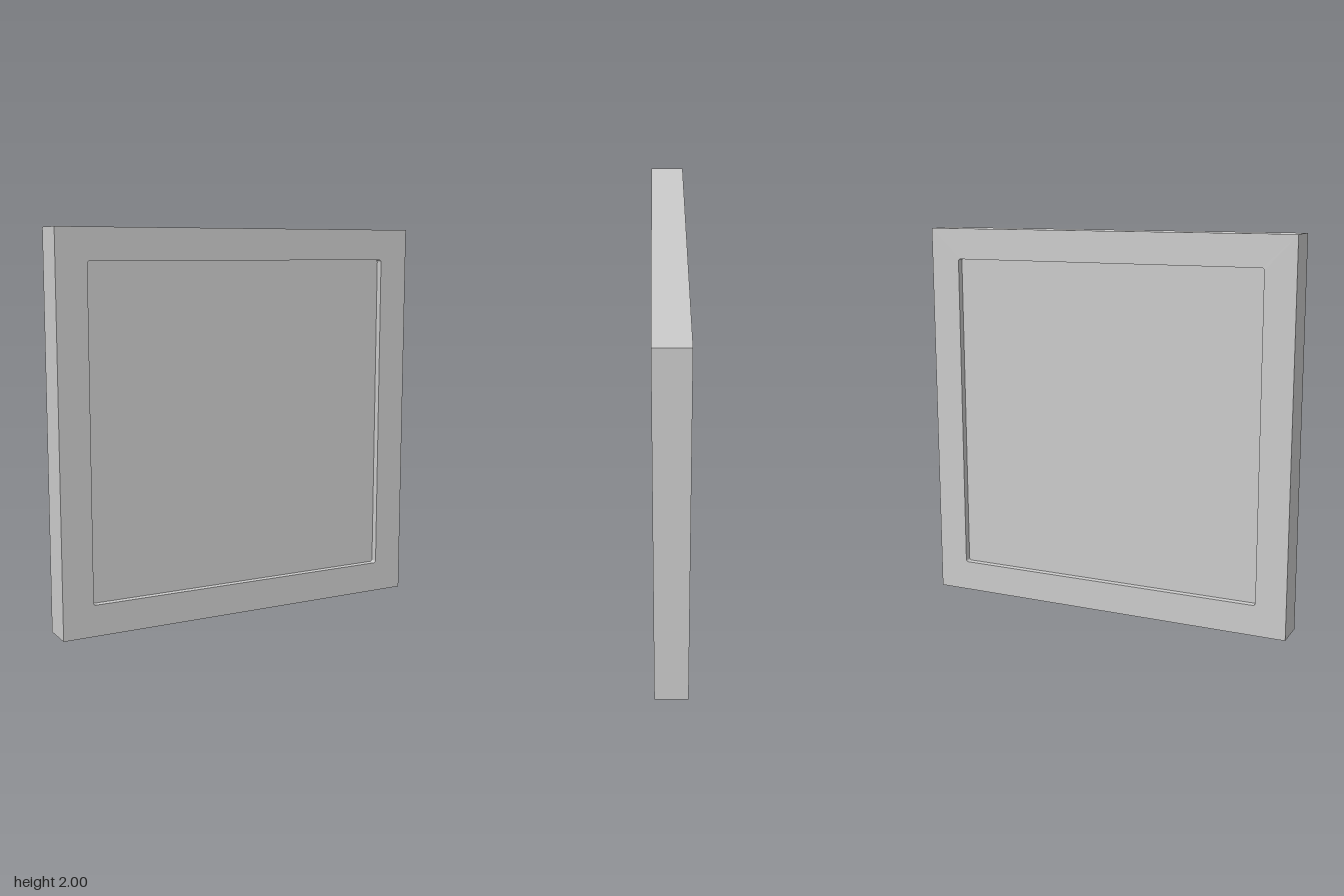
import * as THREE from 'three';

const SIZE = 2, DEPTH = 0.17, OPENING = 1.68, PANEL_DEPTH = 0.1, CORNER = 0.012;

// Square opening with slightly eased corners
function roundedSquare(size, r) {
  const h = size / 2;
  const path = new THREE.Path();
  for (let i = 0; i < 4; i++) {
    const a = i * Math.PI / 2;
    const sx = i === 0 || i === 3 ? 1 : -1;
    const sy = i < 2 ? 1 : -1;
    path.absarc(sx * (h - r), sy * (h - r), r, a, a + Math.PI / 2, false);
  }
  path.closePath();
  return path;
}

export function createModel() {
  const group = new THREE.Group();
  group.name = 'framedPanel';
  const material = new THREE.MeshStandardMaterial({ color: 0xcccccc });

  // Square border
  const h = SIZE / 2;
  const outline = new THREE.Shape([[-h, -h], [h, -h], [h, h], [-h, h]].map(([x, y]) => new THREE.Vector2(x, y)));
  outline.holes.push(roundedSquare(OPENING, CORNER));
  const border = new THREE.ExtrudeGeometry(outline, { depth: DEPTH, bevelEnabled: false, curveSegments: 4 });
  border.translate(0, h, -DEPTH / 2);
  const frame = new THREE.Mesh(border, material);
  frame.name = 'frame';

  // Panel recessed on both faces, its rim set into the border
  const panel = new THREE.Mesh(new THREE.BoxGeometry(OPENING + 0.02, OPENING + 0.02, PANEL_DEPTH), material);
  panel.name = 'panel';
  panel.position.y = h;

  group.add(frame, panel);
  return group;
}
